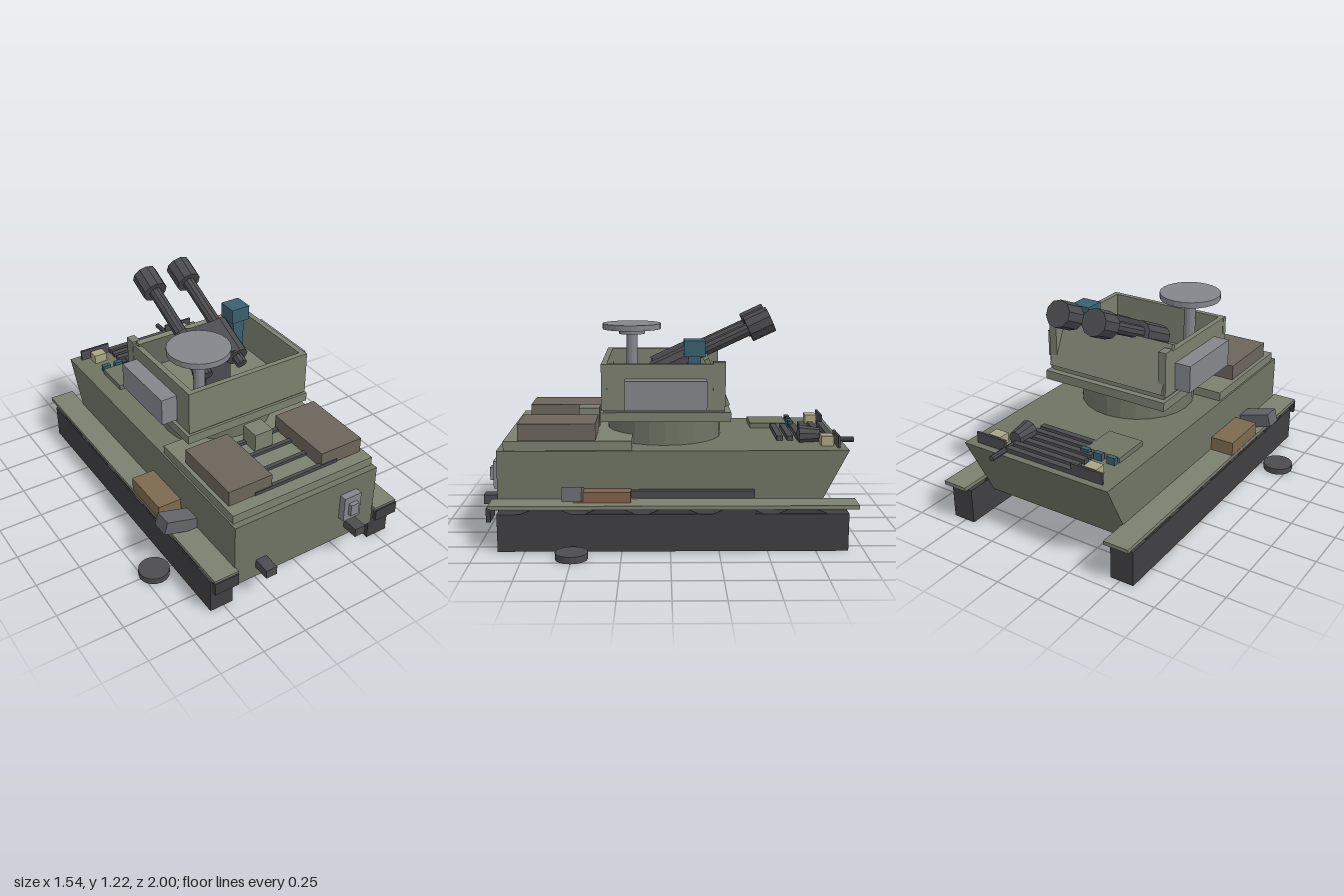
import * as THREE from 'three';

const mat = (color) => new THREE.MeshStandardMaterial({ color, flatShading: true });
const M = {
  hull: mat(0x6f7464), armour: mat(0x7c806f), track: mat(0x3f3f42), steel: mat(0x4b4b50),
  grey: mat(0x85868b), brown: mat(0x6b655a), wood: mat(0x82604a), tan: mat(0x7d6a4e),
  glass: mat(0x3a606e), lamp: mat(0xaaa582), arm: mat(0x63656a),
};

export function createModel() {
  const model = new THREE.Group();

  const add = (name, geo, material, parent = model) => {
    const mesh = new THREE.Mesh(geo, material);
    mesh.name = name;
    parent.add(mesh);
    return mesh;
  };
  // Box given by its limits on each axis
  const box = (name, material, [x0, x1], [y0, y1], [z0, z1], parent) => {
    const m = add(name, new THREE.BoxGeometry(x1 - x0, y1 - y0, z1 - z0), material, parent);
    m.position.set((x0 + x1) / 2, (y0 + y1) / 2, (z0 + z1) / 2);
    return m;
  };
  // Upright cylinder between two heights
  const post = (name, material, r, [y0, y1], x, z, sides = 24) => {
    const m = add(name, new THREE.CylinderGeometry(r, r, y1 - y0, sides), material);
    m.position.set(x, (y0 + y1) / 2, z);
    return m;
  };
  // Side profile of [z, y] points, extruded across x around a centre
  const profile = (name, material, points, width, x = 0) => {
    const shape = new THREE.Shape(points.map(([z, y]) => new THREE.Vector2(z, y)));
    const geo = new THREE.ExtrudeGeometry(shape, { depth: width, bevelEnabled: false });
    geo.translate(0, 0, -width / 2).rotateY(-Math.PI / 2);
    const m = add(name, geo, material);
    m.position.x = x;
    return m;
  };
  // Limits mirrored for side s = 1 or -1
  const side = (s, a, b) => (s > 0 ? [a, b] : [-b, -a]);

  // Hull with a sloping end plate
  profile('hull', M.hull, [[0.905, 0.12], [0.905, 0.5], [-0.935, 0.5], [-0.74, 0.12]], 0.89);
  box('raisedDeck', M.armour, [-0.435, 0.435], [0.5, 0.55], [0.2, 0.87]);

  for (const s of [1, -1]) {
    // Running gear and fenders
    box('track', M.track, side(s, 0.445, 0.578), [0, 0.198], [-0.918, 0.89]);
    for (let i = 0; i < 5; i++) {
      const z = 0.64 - i * 0.33;
      profile('trackHump', M.track,
        [[z + 0.13, 0.197], [z + 0.07, 0.222], [z - 0.07, 0.222], [z - 0.13, 0.197]], 0.12, s * 0.512);
    }
    box('fender', M.armour, side(s, 0.44, 0.582), [0.222, 0.243], [-0.97, 0.935]);
    box('mudFlap', M.track, side(s, 0.443, 0.584), [0.16, 0.23], [0.92, 0.943]);

    // Stabiliser arm and foot pad
    const arm = add('stabiliserArm', new THREE.BoxGeometry(0.2, 0.075, 0.1), M.arm);
    arm.position.set(s * 0.535, 0.292, 0.5);
    arm.rotation.z = s * 0.28;
    post('footPad', M.steel, 0.084, [0, 0.035], s * 0.685, 0.5, 16);

    box('towHook', M.steel, side(s, 0.252, 0.317), [0.18, 0.23], [0.9, 1.0]);
    box('stowageBin', M.brown, side(s, 0.155, 0.413), [0.55, 0.637], [0.39, 0.797]);
    box('lamp', M.lamp, side(s, 0.26, 0.337), [0.5, 0.553], [-0.87, -0.805]);
    box('lampGuard', M.steel, side(s, 0.205, 0.39), [0.5, 0.562], [-0.897, -0.885]);
    box('turretSideBox', M.grey, side(s, 0.368, 0.458), [0.715, 0.866], [-0.19, 0.235]);
  }

  // Fender cargo
  box('toolBox', M.wood, [0.445, 0.525], [0.243, 0.3], [0.205, 0.5]);
  box('toolRod', M.steel, [0.465, 0.5], [0.265, 0.3], [-0.44, 0.205]);
  box('crate', M.tan, [-0.58, -0.447], [0.243, 0.32], [0.095, 0.387]);

  // End wall fittings
  box('panel', M.grey, [0.21, 0.318], [0.265, 0.415], [0.9, 0.945]);
  box('panelHandle', M.grey, [0.238, 0.29], [0.305, 0.375], [0.945, 0.967]);

  // Raised deck fittings
  for (const z of [0.41, 0.53, 0.66]) box('deckSlat', M.steel, [-0.155, 0.155], [0.55, 0.565], [z - 0.012, z + 0.012]);
  box('deckRail', M.steel, [-0.257, 0.257], [0.55, 0.568], [0.78, 0.802]);
  box('deckHousing', M.armour, [-0.055, 0.055], [0.55, 0.655], [0.39, 0.505]);

  // Engine grille, hatch and periscopes
  for (let i = 0; i < 6; i++) {
    const z = -0.88 + i * 0.056;
    box('grilleSlat', M.steel, [-0.205, 0.2], [0.5, 0.525], [z - 0.017, z + 0.017]);
  }
  box('hatch', M.hull, [-0.345, -0.14], [0.5, 0.528], [-0.68, -0.468]);
  for (const x of [-0.315, -0.235, -0.155]) {
    box('periscope', M.glass, [x - 0.024, x + 0.024], [0.5, 0.54], [-0.715, -0.688]);
  }
  const pod = add('deckPod', new THREE.CylinderGeometry(0.038, 0.055, 0.115, 10), M.steel);
  pod.rotation.x = -Math.PI / 2;
  pod.position.set(0.21, 0.535, -0.755);
  const podBarrel = add('deckPodBarrel', new THREE.CylinderGeometry(0.015, 0.015, 0.2, 8), M.steel);
  podBarrel.rotation.x = Math.PI / 2;
  podBarrel.position.set(0.21, 0.508, -0.9);

  // Open-topped turret
  post('turretRing', M.hull, 0.315, [0.5, 0.645], 0, 0.03);
  box('turretBase', M.armour, [-0.38, 0.38], [0.64, 0.69], [-0.32, 0.365]);
  box('turretFloor', M.armour, [-0.36, 0.36], [0.685, 0.72], [-0.285, 0.35]);
  box('turretEndWall', M.armour, [-0.37, 0.37], [0.7, 0.943], [0.33, 0.36]);
  for (const s of [1, -1]) {
    box('turretSideWall', M.armour, side(s, 0.338, 0.368), [0.7, 0.943], [-0.287, 0.345]);
    box('turretCheek', M.armour, side(s, 0.325, 0.37), [0.72, 0.955], [-0.29, -0.225]);
  }
  const shield = add('turretSlopedPlate', new THREE.BoxGeometry(0.715, 0.27, 0.028), M.armour);
  shield.position.set(0, 0.844, -0.245);
  shield.rotation.x = 0.43;
  box('seat', M.steel, [0.095, 0.237], [0.72, 0.78], [0.16, 0.217]);

  // Twin guns, built along +y and tipped towards -z
  const guns = new THREE.Group();
  guns.name = 'twinGuns';
  guns.position.set(0, 0.905, -0.01);
  guns.rotation.x = -THREE.MathUtils.degToRad(65);
  model.add(guns);
  const gunPart = (name, x, r, [a, b], sides) => {
    const m = add(name, new THREE.CylinderGeometry(r, r, b - a, sides), M.steel, guns);
    m.position.set(x, (a + b) / 2, 0);
  };
  for (const x of [-0.11, 0.11]) {
    gunPart('gunBreech', x, 0.032, [-0.15, -0.1], 10);
    gunPart('gunReceiver', x, 0.064, [-0.1, 0.135], 10);
    gunPart('gunBarrel', x, 0.036, [0.13, 0.47], 10);
    gunPart('gunMuzzle', x, 0.072, [0.458, 0.592], 10);
  }
  box('gunCradle', M.steel, [-0.11, 0.11], [-0.09, 0.13], [-0.06, 0.06], guns);
  box('gunPedestal', M.steel, [-0.08, 0.08], [0.71, 0.9], [-0.09, 0.06]);

  // Radar dish
  post('radarMast', M.grey, 0.032, [0.71, 1.05], -0.22, 0.215, 12);
  post('radarHub', M.grey, 0.075, [1.042, 1.07], -0.22, 0.215, 16);
  post('radarDish', M.grey, 0.168, [1.07, 1.102], -0.22, 0.215);

  // Optical sight
  box('sightHead', M.glass, [0.178, 0.29], [0.972, 1.056], [-0.187, -0.075]);
  box('sightPost', M.glass, [0.2, 0.268], [0.71, 0.972], [-0.165, -0.097]);

  return model;
}
